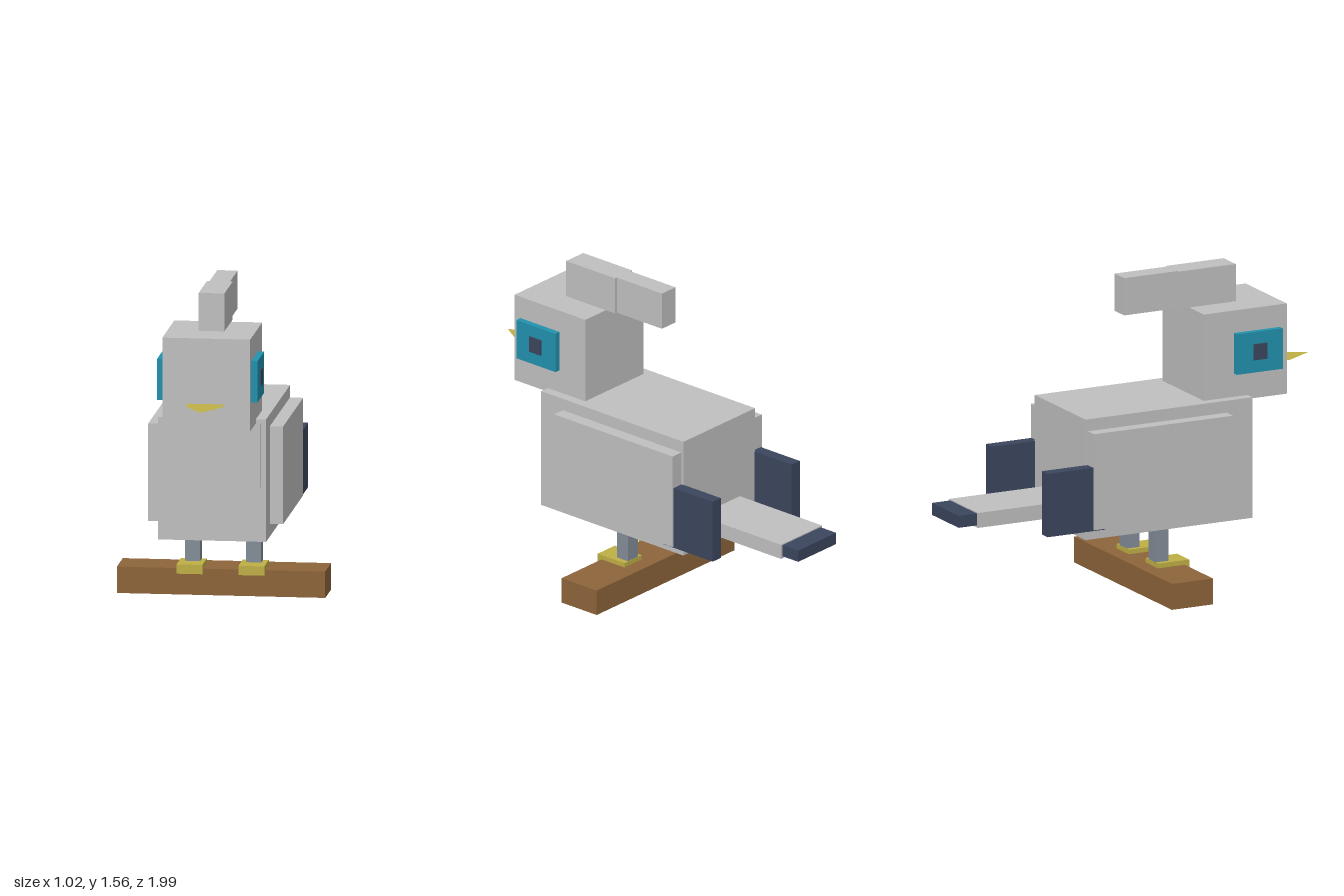
import * as THREE from 'three';

const mat = (name, color, side = THREE.FrontSide) => {
  const m = new THREE.MeshStandardMaterial({ color, side });
  m.name = name;
  return m;
};

export function createModel() {
  const bird = new THREE.Group();
  bird.name = 'bird';

  const grey = mat('feather grey', 0xbfbfbf);
  const navy = mat('dark navy', 0x3b455d);
  const teal = mat('eye teal', 0x2191ad);
  const yellow = mat('beak yellow', 0xbfaf46, THREE.DoubleSide);
  const legGrey = mat('leg grey', 0x838c98);
  const brown = mat('wood brown', 0x8d643a);

  // Box given by its extents on each axis
  const box = (name, material, [x0, x1], [y0, y1], [z0, z1]) => {
    const mesh = new THREE.Mesh(new THREE.BoxGeometry(x1 - x0, y1 - y0, z1 - z0), material);
    mesh.position.set((x0 + x1) / 2, (y0 + y1) / 2, (z0 + z1) / 2);
    mesh.name = name;
    bird.add(mesh);
  };
  // The same box on the left (+x) and right (-x)
  const pair = (name, material, [x0, x1], y, z) => {
    box(name + 'Left', material, [x0, x1], y, z);
    box(name + 'Right', material, [-x1, -x0], y, z);
  };

  // Perch
  box('perch', brown, [-0.51, 0.51], [0, 0.13], [-0.025, 0.2]);

  // Body and chest
  box('body', grey, [-0.265, 0.265], [0.335, 0.94], [-0.37, 0.545]);
  box('chest', grey, [-0.24, 0.24], [0.605, 0.92], [0.5, 0.555]);

  // Head and crest
  box('head', grey, [-0.215, 0.215], [0.92, 1.373], [0.305, 0.76]);
  box('crestFront', grey, [-0.063, 0.063], [1.373, 1.56], [0.245, 0.56]);
  box('crestBack', grey, [-0.05, 0.05], [1.373, 1.56], [-0.045, 0.245]);

  // Eyes
  pair('eye', teal, [0.215, 0.246], [1.057, 1.26], [0.47, 0.722]);
  pair('pupil', navy, [0.246, 0.253], [1.12, 1.2], [0.56, 0.635]);

  // Flat pointed beak, lying level
  const beakShape = new THREE.Shape([
    [-0.088, 0.74], [0.088, 0.74], [0.088, 0.845], [0, 0.99], [-0.088, 0.845],
  ].map(([x, z]) => new THREE.Vector2(x, -z)));
  const beak = new THREE.Mesh(new THREE.ShapeGeometry(beakShape).rotateX(-Math.PI / 2), yellow);
  beak.position.y = 1.05;
  beak.name = 'beak';
  bird.add(beak);

  // Wings with dark tips
  pair('wing', grey, [0.265, 0.33], [0.398, 0.88], [-0.357, 0.405]);
  pair('wingTip', navy, [0.262, 0.322], [0.392, 0.71], [-0.608, -0.29]);

  // Tail
  box('tail', grey, [-0.152, 0.152], [0.435, 0.51], [-0.9, -0.37]);
  box('tailTip', navy, [-0.14, 0.14], [0.445, 0.505], [-1, -0.9]);

  // Legs and feet
  pair('leg', legGrey, [0.112, 0.187], [0.15, 0.335], [0.055, 0.125]);
  pair('foot', yellow, [0.088, 0.215], [0.107, 0.153], [0.053, 0.225]);

  return bird;
}
